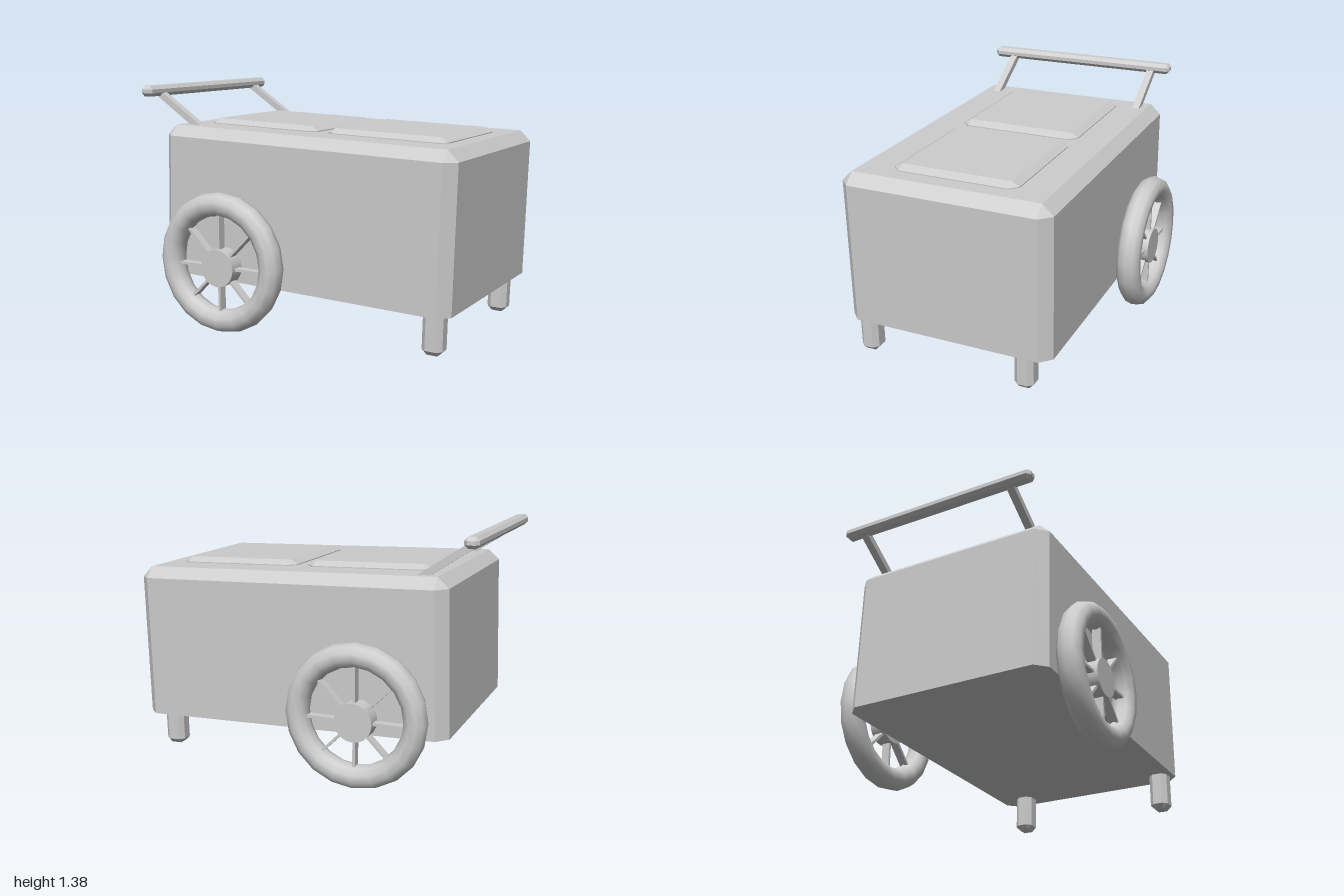
import * as THREE from 'three';
import { ConvexGeometry } from 'three/addons/geometries/ConvexGeometry.js';

const material = new THREE.MeshStandardMaterial({ color: 0xcccccc });

function add(parent, name, geometry, x = 0, y = 0, z = 0) {
  const mesh = new THREE.Mesh(geometry, material);
  mesh.name = name;
  mesh.position.set(x, y, z);
  parent.add(mesh);
  return mesh;
}

// Box standing on y = 0 with chamfered edges: c across, cy downwards; the bottom edge is optional
function chamferBox(w, h, d, c, cy = c, chamferBottom = true) {
  const points = [];
  const a = w / 2, b = d / 2;
  for (const sx of [-1, 1]) {
    for (const sz of [-1, 1]) {
      const put = (x, y, z) => points.push(new THREE.Vector3(sx * x, y, sz * z));
      const low = chamferBottom ? cy : 0;
      for (const y of [low, h - cy]) {
        put(a, y, b - c);
        put(a - c, y, b);
      }
      put(a - c, h, b - c);
      if (chamferBottom) put(a - c, 0, b - c);
    }
  }
  return new ConvexGeometry(points);
}

// Tyre, off-centre hub and eight flat spokes
function createWheel(name) {
  const wheel = new THREE.Group();
  wheel.name = name;
  const hubY = -0.025;
  const tyre = add(wheel, 'tyre', new THREE.TorusGeometry(0.337, 0.067, 10, 20));
  tyre.scale.z = 1.06;
  const hub = add(wheel, 'hub', new THREE.CylinderGeometry(0.108, 0.108, 0.09, 20), 0, hubY, 0);
  hub.rotation.x = Math.PI / 2;
  for (let i = 0; i < 8; i++) {
    const angle = (i * Math.PI) / 4;
    const dir = new THREE.Vector2(Math.cos(angle), Math.sin(angle));
    // reach the tyre's inner side from the lowered hub
    const outer = 0.29 - hubY * dir.y;
    const inner = 0.09;
    const mid = (outer + inner) / 2;
    const spoke = add(wheel, 'spoke', new THREE.BoxGeometry(outer - inner, 0.015, 0.05),
      dir.x * mid, hubY + dir.y * mid, 0);
    spoke.rotation.z = angle;
  }
  return wheel;
}

export function createModel() {
  const cart = new THREE.Group();
  cart.name = 'pushCart';

  // Slightly tilted box with two lids
  const body = new THREE.Group();
  body.name = 'body';
  body.position.set(0.0575, 0.27, 0);
  body.rotation.z = -0.0272;
  cart.add(body);
  add(body, 'bodyBox', chamferBox(1.836, 0.867, 1.22, 0.062, 0.06, false));
  for (const x of [-0.396, 0.399]) {
    add(body, 'lid', chamferBox(0.73, 0.055, 0.73, 0.045, 0.025, false), x, 0.842, 0);
  }

  // Front legs
  for (const z of [0.52, -0.437]) {
    const leg = add(cart, 'leg', chamferBox(0.118, 0.3, 0.112, 0.028), 0.868, 0.027, z);
    leg.rotation.z = -0.0272;
  }

  // Handle bar and its two sloping arms
  const bar = add(cart, 'handleBar', chamferBox(0.08, 0.062, 1.215, 0.02), -0.96, 1.318, 0);
  bar.rotation.z = -0.0272;
  const start = new THREE.Vector2(-0.97, 1.345);
  const end = new THREE.Vector2(-0.66, 1.14);
  const span = end.clone().sub(start);
  for (const z of [0.471, -0.486]) {
    const arm = add(cart, 'handleArm', new THREE.BoxGeometry(span.length(), 0.038, 0.044),
      (start.x + end.x) / 2, (start.y + end.y) / 2, z);
    arm.rotation.z = span.angle();
  }

  // Wheels on both sides
  for (const [name, z] of [['frontWheel', 0.682], ['backWheel', -0.682]]) {
    const wheel = createWheel(name);
    wheel.position.set(-0.378, 0.405, z);
    cart.add(wheel);
  }
  return cart;
}
